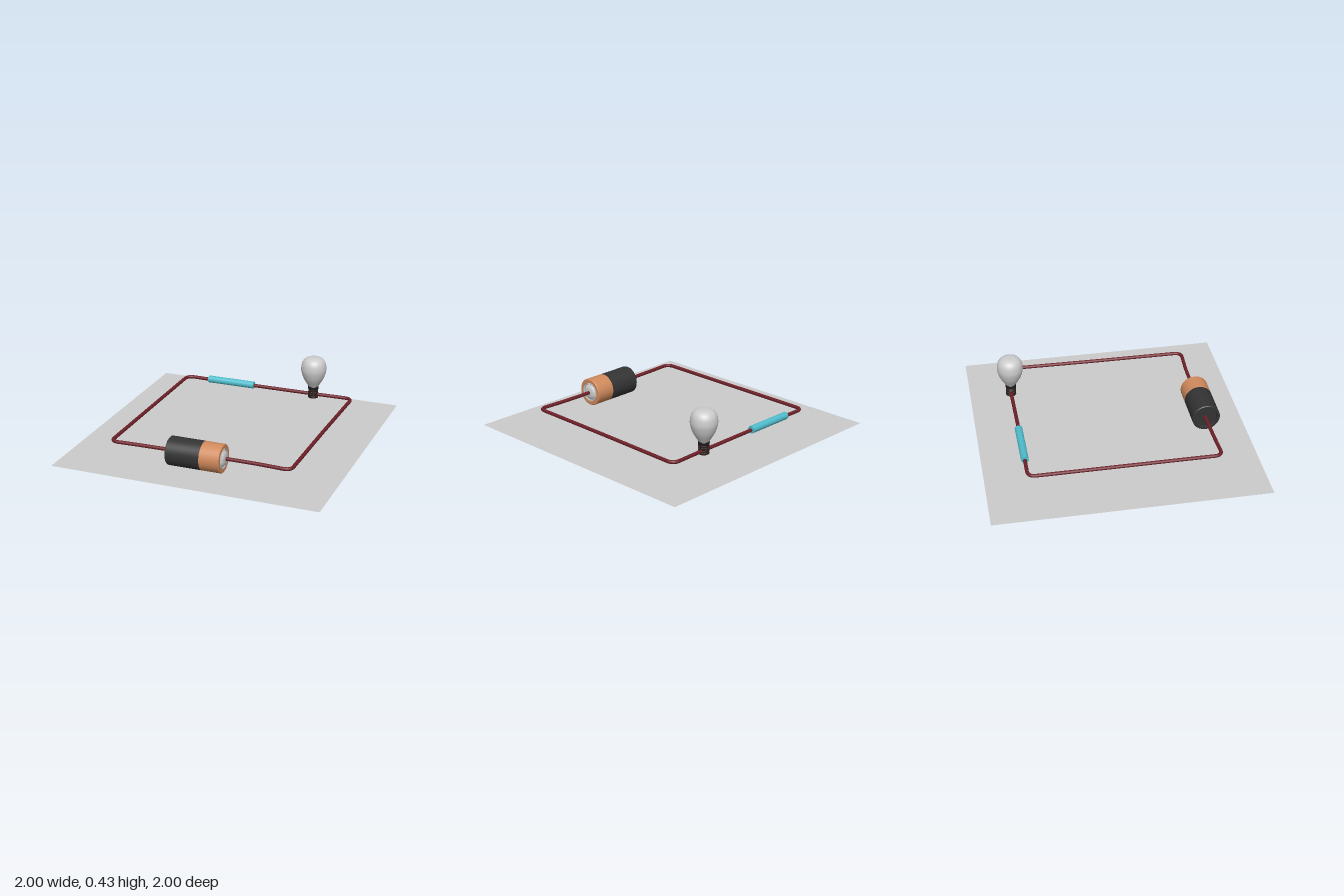
import * as THREE from 'three';
import { toCreasedNormals } from 'three/addons/utils/BufferGeometryUtils.js';

const WIRE_Y = 0.125;

function paint(color) {
  return new THREE.MeshStandardMaterial({ color });
}

function add(parent, name, geometry, material) {
  const mesh = new THREE.Mesh(geometry, material);
  mesh.name = name;
  parent.add(mesh);
  return mesh;
}

// Turned part from [radius, height] pairs, with crisp edges
function turned(profile, segments = 40) {
  const points = profile.map(([r, y]) => new THREE.Vector2(r, y));
  return toCreasedNormals(new THREE.LatheGeometry(points, segments), 0.6);
}

// Path through [x, z] corners, each rounded off
function roundedPath(corners, radius) {
  const pts = corners.map(([x, z]) => new THREE.Vector3(x, WIRE_Y, z));
  const path = new THREE.CurvePath();
  let from = pts[0];
  for (let i = 1; i < pts.length - 1; i++) {
    const toward = (p) => pts[i].clone().add(p.clone().sub(pts[i]).setLength(radius));
    const a = toward(pts[i - 1]);
    const b = toward(pts[i + 1]);
    path.add(new THREE.LineCurve3(from, a));
    path.add(new THREE.QuadraticBezierCurve3(a, pts[i], b));
    from = b;
  }
  path.add(new THREE.LineCurve3(from, pts[pts.length - 1]));
  return path;
}

export function createModel() {
  const model = new THREE.Group();
  model.name = 'electricCircuit';
  const grey = paint(0xcccccc);
  const black = paint(0x333333);

  // Thin square base sheet
  const sheetMaterial = paint(0xcccccc);
  sheetMaterial.side = THREE.DoubleSide;
  const sheet = add(model, 'baseSheet', new THREE.PlaneGeometry(2, 2), sheetMaterial);
  sheet.rotation.x = -Math.PI / 2;

  // Wire loop from one battery end round to the other
  const path = roundedPath([
    [0.19, 0.69], [0.45, 0.69], [0.695, 0.705], [0.7, 0], [0.712, -0.705],
    [0.4, -0.698], [-0.3, -0.695], [-0.67, -0.7], [-0.67, 0.705], [-0.45, 0.695], [-0.18, 0.69],
  ], 0.06);
  add(model, 'wire', new THREE.TubeGeometry(path, 320, 0.0135, 10, false), paint(0x6e2028));

  // Battery lying along x, positive end at +x
  const battery = new THREE.Group();
  battery.name = 'battery';
  battery.position.set(0, WIRE_Y, 0.695);
  battery.rotation.z = -Math.PI / 2;
  model.add(battery);
  add(battery, 'batteryBody', turned([
    [0, -0.19], [0.08, -0.19], [0.085, -0.208], [0.1, -0.208], [0.105, -0.203], [0.105, 0.05],
  ]), black);
  add(battery, 'batteryCopperEnd', turned([
    [0.105, 0.05], [0.105, 0.195], [0.1, 0.2], [0.075, 0.2], [0.072, 0.19], [0, 0.19],
  ]), paint(0xd08a5c));
  add(battery, 'batteryTerminal', turned([
    [0.072, 0.19], [0.072, 0.202], [0.064, 0.202], [0.062, 0.195],
    [0.058, 0.2], [0.05, 0.208], [0.03, 0.214], [0, 0.215],
  ]), grey);

  // Resistor sleeve on the back wire
  const resistor = add(model, 'resistor', new THREE.CylinderGeometry(0.028, 0.028, 0.385, 24), paint(0x4fbccb));
  resistor.position.set(-0.288, 0.128, -0.697);
  resistor.rotation.z = Math.PI / 2;

  // Light bulb with ridged socket
  const bulb = new THREE.Group();
  bulb.name = 'lightBulb';
  bulb.position.set(0.4, 0, -0.695);
  model.add(bulb);

  const glass = new THREE.SplineCurve([
    [0.036, 0.19], [0.052, 0.215], [0.078, 0.26], [0.095, 0.31], [0.098, 0.345],
    [0.091, 0.385], [0.07, 0.415], [0.037, 0.43], [0, 0.432],
  ].map(([r, y]) => new THREE.Vector2(r, y))).getPoints(32);
  glass.forEach((p) => { p.x = Math.max(p.x, 0); });
  add(bulb, 'bulbGlass', new THREE.LatheGeometry(glass, 40), grey);
  add(bulb, 'bulbCollar', turned([
    [0, 0.168], [0.036, 0.168], [0.041, 0.172], [0.041, 0.192], [0.036, 0.198], [0, 0.198],
  ]), paint(0x1c1a1a));

  const thread = [[0, 0.098], [0.034, 0.098]];
  for (let i = 0; i < 4; i++) {
    const y = 0.098 + i * 0.0185;
    thread.push([0.039, y + 0.003], [0.039, y + 0.013], [0.034, y + 0.0165]);
  }
  thread.push([0, 0.17]);
  add(bulb, 'bulbThread', turned(thread), paint(0x2e1f1c));

  return model;
}
